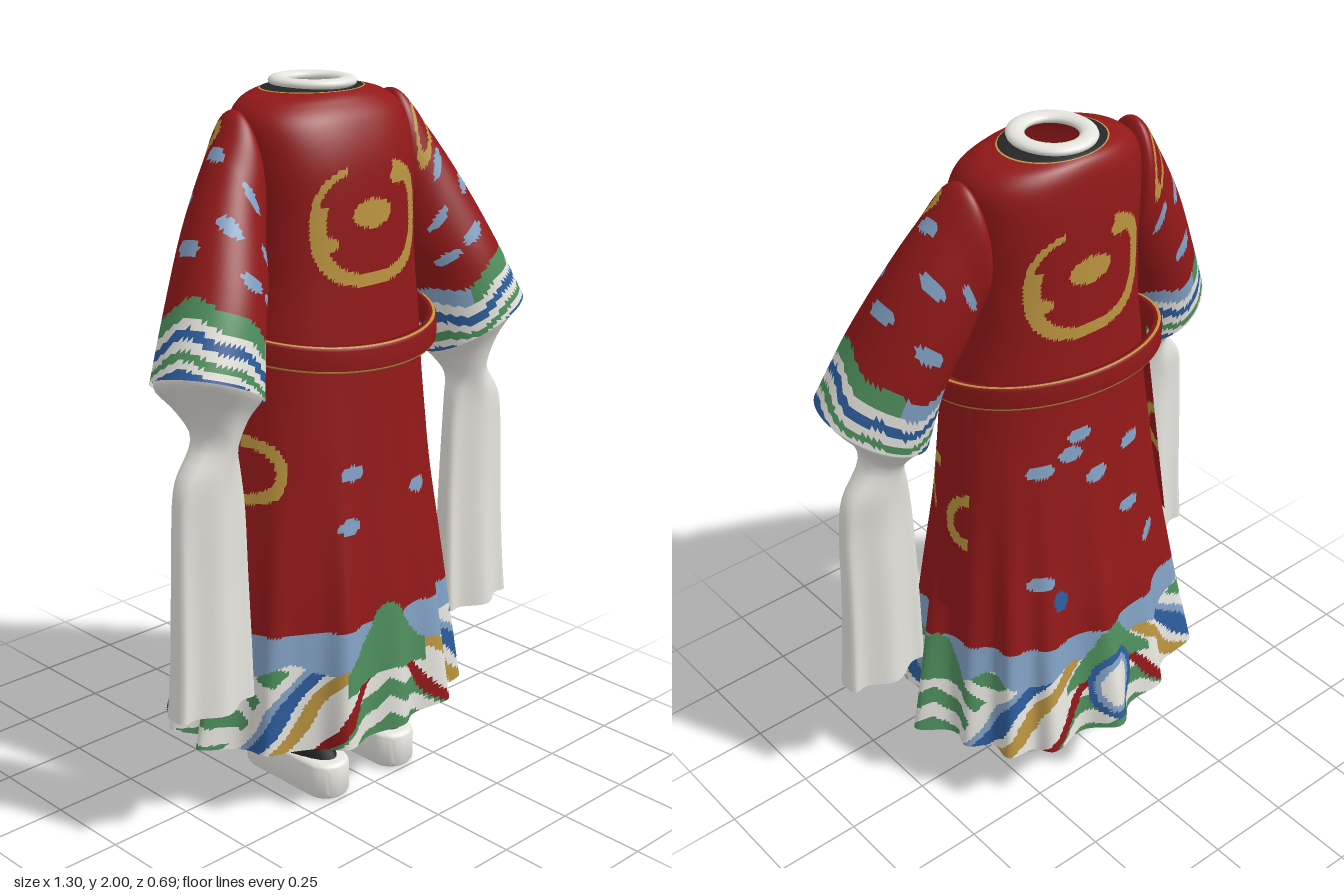
import * as THREE from 'three';
import { toCreasedNormals } from 'three/addons/utils/BufferGeometryUtils.js';

const cloth = (name, color) => new THREE.MeshStandardMaterial({ name, color, side: THREE.DoubleSide });
const [RED, GOLD, SKY, GREEN, BLUE, WHITE, BLACK] = [0, 1, 2, 3, 4, 5, 6];

// interpolate the rows of a table at t in 0..1
function sample(rows, t) {
  const n = rows.length - 1, f = Math.min(t, 1) * n, i = Math.min(Math.floor(f), n - 1), k = f - i;
  const a = rows[Math.max(i - 1, 0)], b = rows[i], c = rows[i + 1], d = rows[Math.min(i + 2, n)];
  return b.map((_, j) => b[j] + 0.5 * k * (c[j] - a[j] + k * (2 * a[j] - 5 * b[j] + 4 * c[j] - d[j]
    + k * (3 * (b[j] - c[j]) + d[j] - a[j]))));
}

// surface of nu x nv cells, closed around u, each triangle coloured by paint(point, u, v)
function loft(name, mats, nu, nv, point, paint, closed = true) {
  const pos = [], cells = mats.map(() => []), cols = closed ? nu : nu + 1;
  for (let j = 0; j <= nv; j++) for (let i = 0; i < cols; i++) pos.push(...point(i / nu, j / nv));
  for (let j = 0; j < nv; j++) for (let i = 0; i < nu; i++) {
    const a = j * cols + i, b = j * cols + (i + 1) % cols, c = a + cols, d = b + cols;
    for (const [k, tri] of [[1 / 3, [a, c, b]], [2 / 3, [b, c, d]]]) {
      const u = (i + k) / nu, v = (j + k) / nv;
      cells[paint(point(u, v), u, v)].push(...tri);
    }
  }
  const geo = new THREE.BufferGeometry();
  geo.setAttribute('position', new THREE.Float32BufferAttribute(pos, 3));
  geo.setIndex(cells.flat());
  let start = 0;
  cells.forEach((c, m) => { if (c.length) geo.addGroup(start, c.length, m); start += c.length; });
  geo.computeVertexNormals();
  const mesh = new THREE.Mesh(geo, mats);
  mesh.name = name;
  return mesh;
}

const fract = (x) => x - Math.floor(x);
const wrap = (x) => fract(x + 0.5) - 0.5;
const inOval = (x, y, cx, cy, rx, ry) => Math.hypot((x - cx) / rx, (y - cy) / ry);
const spotted = (list, x, y) => list.some(([cx, cy]) => inOval(x, y, cx, cy, 0.038, 0.022) < 1);
const pow = (x, e) => Math.sign(x) * Math.abs(x) ** e;

// robe sections: y, half width, front z, back z, roundness
const ROBE = [
  [1.985, 0.08, 0.07, -0.09, 1], [1.972, 0.148, 0.11, -0.135, 1], [1.95, 0.22, 0.145, -0.155, 0.95],
  [1.9, 0.262, 0.185, -0.165, 0.88], [1.8, 0.27, 0.215, -0.17, 0.85], [1.65, 0.267, 0.225, -0.17, 0.85],
  [1.5, 0.273, 0.228, -0.17, 0.85], [1.35, 0.298, 0.234, -0.174, 0.9], [1.2, 0.316, 0.242, -0.182, 0.94],
  [1.05, 0.334, 0.252, -0.197, 0.97], [0.9, 0.35, 0.264, -0.214, 1], [0.75, 0.367, 0.278, -0.232, 1],
  [0.62, 0.38, 0.29, -0.25, 1], [0.5, 0.392, 0.298, -0.264, 1], [0.4, 0.402, 0.303, -0.276, 1],
  [0.3, 0.412, 0.307, -0.29, 1], [0.2, 0.422, 0.31, -0.3, 1],
];
// directions of the hem folds, in degrees from the front
const FOLDS = [-22, 5, 29, 50, 85, 112, 134, 151, 178, 206, 235, 252, 276, 305];
function robePoint(u, v) {
  const a = u * Math.PI * 2, [y, rx, zf, zb, e] = sample(ROBE, v);
  const k = Math.max(0, (1.25 - y) / 1.05) ** 1.5;
  const bump = FOLDS.reduce((s, d, i) => s + (i % 4 === 1 ? 0.5 : 1) * Math.exp(-((wrap(u - d / 360) / 0.02) ** 2)), 0);
  const fold = 1 + k * (0.21 * bump - 0.045);
  return [rx * fold * pow(Math.sin(a), e), y + k * 0.015 * (bump - 0.5),
    (zf + zb) / 2 + (zf - zb) / 2 * fold * pow(Math.cos(a), e)];
}

// mountains at the four sides of the hem, with sweeping diagonals between them
function hemColor(y, u) {
  const a = Math.abs(wrap(u * 4)) * 0.62, d = Math.abs(wrap(u * 2)) * 1.24;
  const front = Math.abs(wrap(u)) < 0.125, back = Math.abs(wrap(u)) > 0.375;
  const peak = (front ? 0.585 : 0.545) - (a < 0.04 ? a * 0.5 : a < 0.06 ? 0.02 + (a - 0.04) * 2 : 0.06 + (a - 0.06) * 1.1);
  // round pool inside the back mountain
  const pool = inOval(a, y, 0, 0.34, 0.085, 0.11);
  if (back && pool < 1) return pool < 0.6 ? WHITE : pool < 0.8 ? SKY : BLUE;
  if (a < 0.155 && y < peak && y > 0.385 - a * 0.2) return GREEN;
  if (y > 0.54) return RED;
  if (y > 0.435 + 0.02 * Math.sin(u * 60)) return SKY;
  const h = y + d * 1.2 + 0.012 * Math.sin(y * 32);
  if (h < 0.44 || h > 0.84) return fract((y + 0.5 * a + 0.012 * Math.sin(a * 40) - 0.2) / 0.105) < 0.52 ? GREEN : WHITE;
  return h < 0.485 ? RED : h < 0.585 ? WHITE : h < 0.65 ? GOLD : h < 0.685 ? WHITE : h < 0.75 ? BLUE : h < 0.785 ? SKY : WHITE;
}

const FRONT_SPOTS = [[-0.1, 0.975], [0.16, 0.88], [-0.12, 0.83]];
const BACK_SPOTS = [[0.05, 1.18], [0.17, 1.1], [0, 1.04], [-0.14, 1.08], [-0.12, 0.88], [0.2, 0.75], [-0.21, 0.73], [0.08, 1.13]];
function robeColor([x, y, z], u, v) {
  const t = v * (ROBE.length - 1);
  if (t < 1) return BLACK;
  if (t < 1.07) return GOLD;
  if (y < 0.6) return hemColor(y, u);
  // emblem on chest and back: an open bowl with a curled end and a centre
  const ex = z > 0 ? x : -x;
  const ring = (Math.abs(ex / 0.192) ** 2.7 + Math.abs((y - 1.64) / 0.162) ** 2.7) ** (1 / 2.7);
  const rim = y > 1.7 && ex < 0 ? 0.9 : 0.79;
  if (ring < 1 && ring > rim && !(y > 1.7 && ex > -0.085 && ex < 0.075)) return GOLD;
  if (inOval(ex, y, -0.005, 1.668, 0.07, 0.038) < 1 || inOval(ex, y, 0.1, 1.755, 0.035, 0.025) < 1
    || inOval(ex, y, -0.15, 1.6, 0.032, 0.022) < 1) return GOLD;
  const side = inOval(Math.abs(x), y, 0.335, 1, 0.07, 0.095);
  if (z > 0 && side < 1 && side > 0.66) return GOLD;
  if (z < 0 && inOval(x, y, 0.15, 0.68, 0.026, 0.034) < 1) return BLUE;
  return spotted(z > 0 ? FRONT_SPOTS : BACK_SPOTS, x, y) ? SKY : RED;
}

// sleeve sections: outer x, outer y, inner x, inner y, centre z, half depth, forward tilt
const SLEEVE = [
  [0.24, 1.82, 0.23, 1.72, 0, 0.02, 0], [0.285, 1.94, 0.24, 1.62, 0, 0.09, 0], [0.37, 1.84, 0.258, 1.55, 0.025, 0.108, 0.005],
  [0.47, 1.68, 0.278, 1.48, 0.058, 0.128, 0.015], [0.56, 1.5, 0.322, 1.38, 0.095, 0.142, 0.03], [0.648, 1.33, 0.352, 1.2, 0.13, 0.145, 0.04],
];
// spots as turn around and distance along the sleeve
const SLEEVE_SPOTS = [[0.19, 0.42], [0.31, 0.53], [0.13, 0.57], [0.24, 0.69], [0.36, 0.7],
  [0.0, 0.4], [0.99, 0.66], [0.88, 0.52], [0.8, 0.69], [0.74, 0.44]];
// hanging under-sleeve sections, same columns as the sleeve
const UNDER = [
  [0.633, 1.34, 0.36, 1.22, 0.13, 0.135, 0.04], [0.635, 1.31, 0.36, 1.2, 0.13, 0.132, 0.04], [0.575, 1.23, 0.39, 1.165, 0.125, 0.095, 0.02],
  [0.54, 1.14, 0.42, 1.11, 0.13, 0.065, 0], [0.605, 1.04, 0.408, 1.04, 0.132, 0.056, 0], [0.622, 0.93, 0.396, 0.93, 0.135, 0.05, 0],
  [0.628, 0.75, 0.39, 0.75, 0.135, 0.05, 0], [0.636, 0.55, 0.386, 0.55, 0.138, 0.054, 0], [0.648, 0.39, 0.385, 0.39, 0.14, 0.06, 0],
];
const tubePoint = (rows, s, ripple) => (u, v) => {
  const a = u * Math.PI * 2, [px, py, qx, qy, cz, hz, tilt] = sample(rows, v), c = Math.cos(a) / 2;
  const wave = ripple * v * v * Math.sin(a * 5);
  return [s * ((px + qx) / 2 + (px - qx) * c), (py + qy) / 2 + (py - qy) * c + tilt * Math.sin(a), cz + hz * Math.sin(a) + wave];
};
const sleeveColor = (s) => (p, u, v) => {
  const w = v + 0.022 * Math.sin(u * Math.PI * 4 + 0.5) + 0.01 * Math.sin(u * Math.PI * 10);
  if (w > 0.81) {
    const bands = [WHITE, BLUE, WHITE, GREEN, WHITE, BLUE];
    return w < 0.86 ? (Math.cos(u * Math.PI * 2 - 0.5) > -0.1 ? GREEN : SKY) : bands[Math.min(5, Math.floor((w - 0.86) * 38))];
  }
  const ring = inOval(wrap(u - s * 0.14) * 0.6, v * 0.65, 0, 0.205, 0.07, 0.042);
  if (ring < 1 && ring > 0.62) return GOLD;
  return SLEEVE_SPOTS.some(([a, b]) => inOval(wrap(u - a) * 0.6, (v - b) * 0.65, 0, 0, 0.03, 0.016) < 1) ? SKY : RED;
};

export function createModel() {
  const model = new THREE.Group();
  const mats = [cloth('red silk', 0x921819), cloth('gold thread', 0xbc9440), cloth('sky blue', 0x82a1c4),
    cloth('green', 0x4f8f5e), cloth('deep blue', 0x2d5c9c), cloth('off white', 0xe6e4de), cloth('black', 0x262626)];

  model.add(loft('robe', mats, 240, 208, robePoint, robeColor));

  // neck ring
  const neck = new THREE.Mesh(new THREE.TorusGeometry(0.091, 0.024, 14, 44).rotateX(Math.PI / 2).scale(1, 0.58, 1.06), mats[WHITE]);
  neck.name = 'neckRing';
  neck.position.set(0, 1.986, -0.01);
  model.add(neck);

  // tilted belt with gold edging: offset out and up for each corner of its section
  const section = [[0, -0.035], [0.008, -0.034], [0.012, -0.027], [0.012, 0.027], [0.008, 0.034], [0, 0.035], [-0.014, 0.033], [-0.014, -0.033], [0, -0.035]];
  model.add(loft('belt', mats, 80, 8, (u, v) => {
    const a = u * Math.PI * 2, [out, up] = section[Math.min(8, Math.floor(v * 8 + 1e-6))];
    const z = 0.025 + (0.276 + out) * Math.cos(a);
    return [(0.332 + out) * Math.sin(a), 1.346 - 0.15 * (z - 0.025) + up, z];
  }, (p, u, v) => ([1, 3].includes(Math.floor(v * 8)) && Math.floor(v * 8) === 1 || Math.floor(v * 8) === 4 ? GOLD : RED)));

  for (const s of [1, -1]) {
    const side = s > 0 ? 'left' : 'right';
    model.add(loft(side + 'Sleeve', mats, 64, 72, tubePoint(SLEEVE, s, 0), sleeveColor(s)));
    model.add(loft(side + 'UnderSleeve', mats, 40, 32, tubePoint(UNDER, s, 0.014), () => WHITE));

    // hanging side panel
    model.add(loft(side + 'SidePanel', mats, 20, 56, (u, v) => {
      const w = 2 * u - 1, y = 1.36 - 0.7 * v;
      return [s * (0.318 + 0.078 * v - 0.016 * w * w), y, w * (0.05 + 0.035 * v)];
    }, ([x, y, z]) => {
      const r = inOval(z, y, -0.07, 0.96, 0.075, 0.085);
      return r < 1 && r > 0.62 ? GOLD : RED;
    }, false));

    // trouser leg: y, centre x, half width, centre z, half depth
    const leg = [[0.09, 0.13, 0.062, 0.06, 0.165], [0.2, 0.13, 0.062, 0.05, 0.12], [0.4, 0.125, 0.068, 0.03, 0.09], [0.9, 0.11, 0.075, 0.02, 0.09]];
    model.add(loft(side + 'Leg', mats, 24, 14, (u, v) => {
      const a = u * Math.PI * 2, [y, cx, hx, cz, hz] = sample(leg, v);
      return [s * (cx + hx * Math.sin(a)), y, cz + hz * Math.cos(a)];
    }, () => BLACK));

    // boot with rounded toe and heel
    const sole = new THREE.Shape();
    sole.absarc(0, 0.118, 0.047, 0, Math.PI);
    sole.absarc(0, -0.118, 0.047, Math.PI, Math.PI * 2);
    const boot = new THREE.ExtrudeGeometry(sole, { depth: 0.07, bevelSize: 0.02, bevelThickness: 0.02, bevelSegments: 4, curveSegments: 12 });
    const foot = new THREE.Mesh(toCreasedNormals(boot.rotateX(-Math.PI / 2), 0.7), mats[WHITE]);
    foot.name = side + 'Boot';
    foot.position.set(s * 0.132, 0.02, 0.065);
    model.add(foot);
  }
  return model;
}
